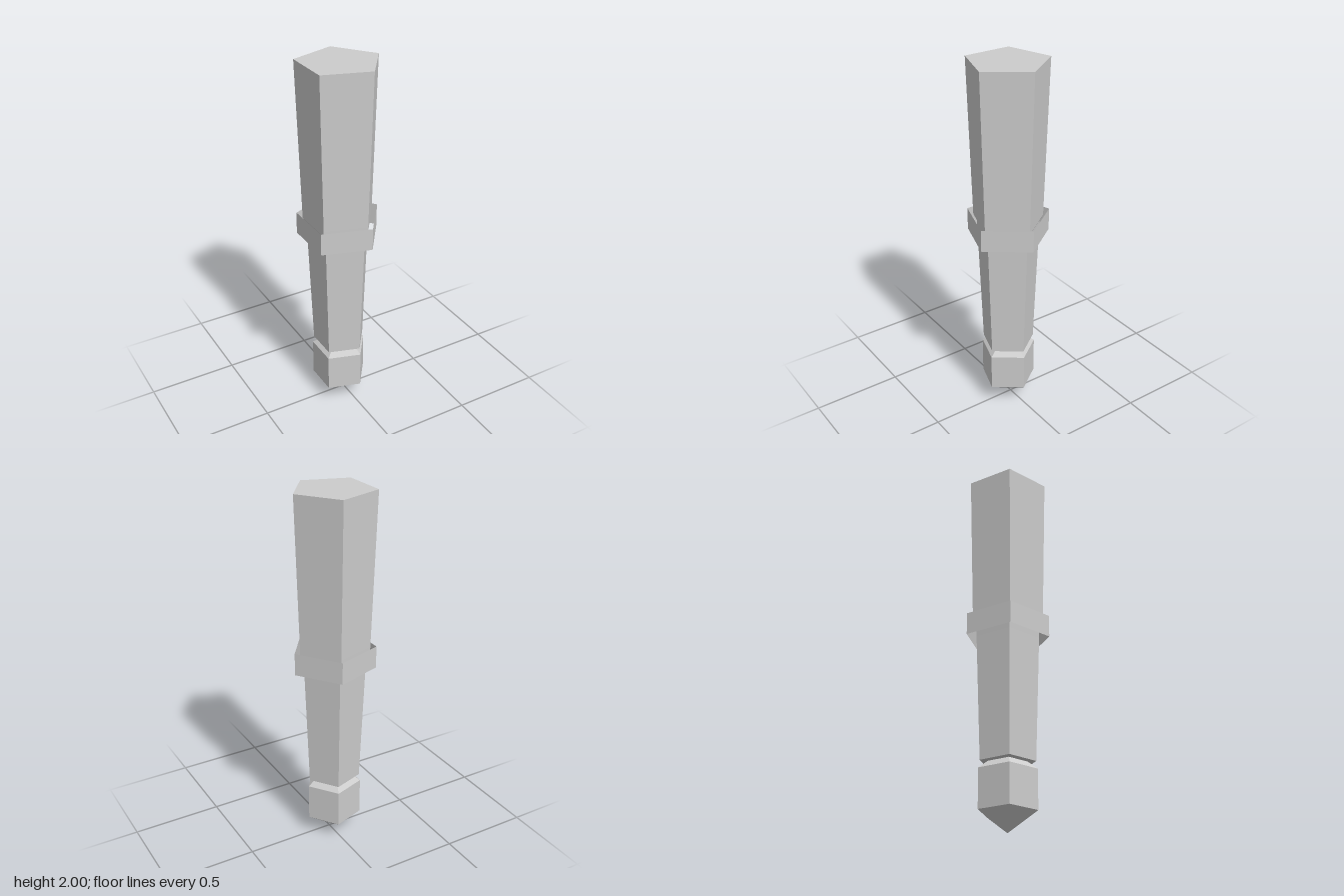
import * as THREE from 'three';

const SIDES = 5;
const AXIS_X = -0.023;

export function createModel() {
  const group = new THREE.Group();
  group.name = 'taperedPeg';
  const grey = new THREE.MeshStandardMaterial({ color: 0xcccccc });
  grey.name = 'light grey';
  grey.flatShading = true;
  grey.side = THREE.DoubleSide;

  // Five-sided solid of revolution with one corner towards +x
  function addPart(name, profile) {
    const points = profile.map(([r, y]) => new THREE.Vector2(r, y));
    const geometry = new THREE.LatheGeometry(points, SIDES, Math.PI / 2);
    const mesh = new THREE.Mesh(geometry, grey);
    mesh.name = name;
    mesh.position.x = AXIS_X;
    group.add(mesh);
    return mesh;
  }

  // Pointed foot with a bevelled neck
  addPart('foot', [[0, 0], [0.156, 0.105], [0.156, 0.315], [0.105, 0.355]]);

  // Lower shaft, closed underneath
  addPart('lowerShaft', [[0, 0.355], [0.149, 0.355], [0.175, 1.035], [0.178, 1.1]]);

  // Upper shaft, flaring to a flat top
  addPart('upperShaft', [[0.178, 1.1], [0.197, 1.13], [0.198, 1.16], [0.223, 2], [0, 2]]);

  // Open collar around the joint
  addPart('collar', [[0.2305, 1.037], [0.2305, 1.16]]);

  return group;
}
